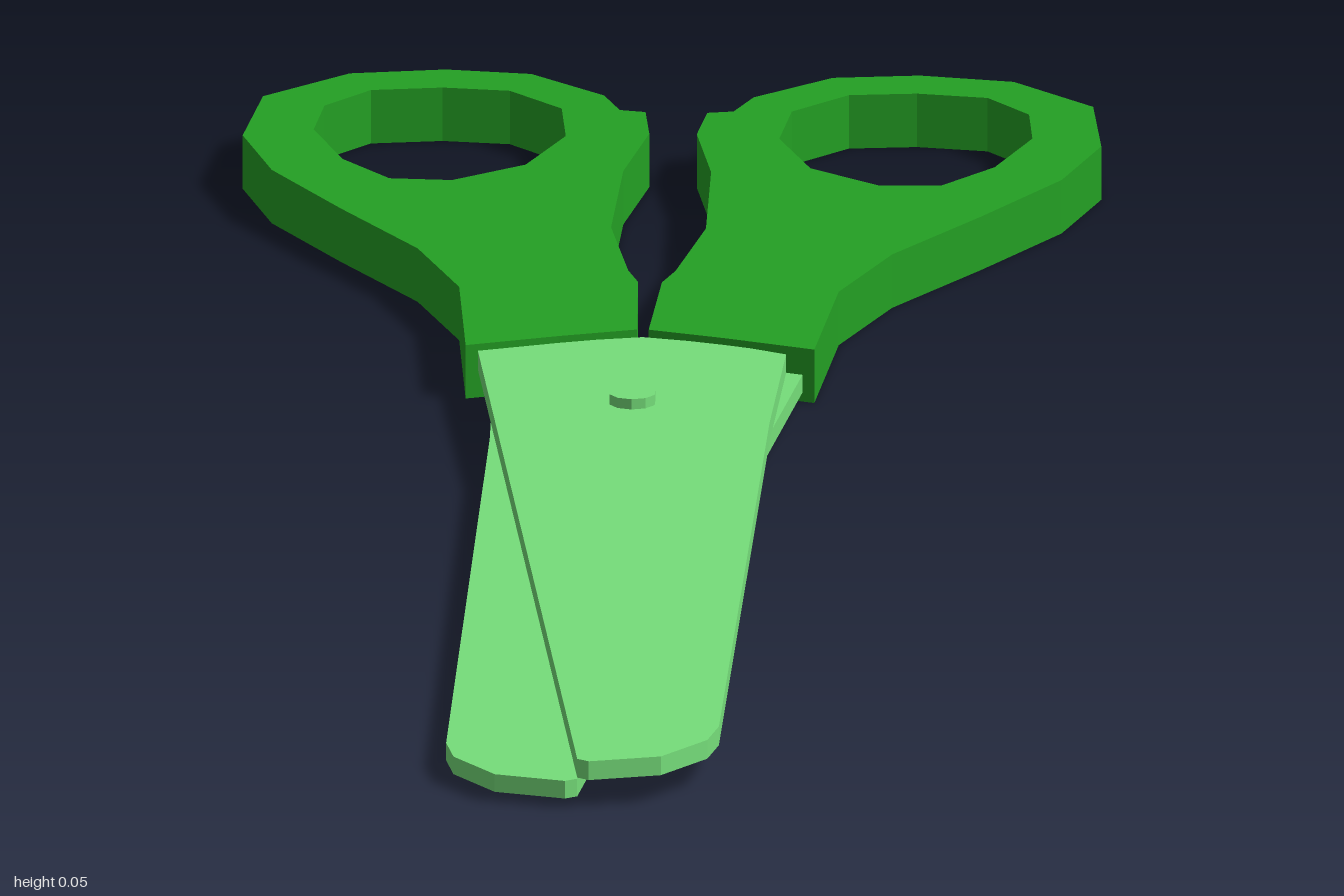
import * as THREE from 'three';

const handleMat = new THREE.MeshStandardMaterial({ color: 0x24a024, flatShading: true });
const bladeMat = new THREE.MeshStandardMaterial({ color: 0x76de7a, flatShading: true });

// Handle outline as [x, z], from the blade end round the finger ring
const HANDLE = [
  [0.005, -0.247], [0.07, -0.225], [0.147, -0.195], [0.16, -0.365], [0.2, -0.476], [0.27, -0.59],
  [0.333, -0.7], [0.362, -0.8], [0.35, -0.915], [0.28, -0.985], [0.2, -1], [0.127, -0.99],
  [0.063, -0.93], [0.048, -0.888], [0.026, -0.883], [0.02, -0.82], [0.037, -0.71],
  [0.04, -0.545], [0.02, -0.42], [0.01, -0.386],
];
const FINGER_HOLE = [
  [0.2, -0.947], [0.26, -0.937], [0.297, -0.89], [0.303, -0.82], [0.275, -0.735], [0.233, -0.68],
  [0.18, -0.677], [0.12, -0.725], [0.09, -0.81], [0.097, -0.89], [0.143, -0.94],
];
// Blade outline: straight cutting edge on -x, blunt rounded tip
const BLADE = [
  [-0.137, -0.2], [0, 0.99], [0.01, 0.997], [0.07, 0.98], [0.107, 0.93], [0.115, 0.89],
  [0.118, 0], [0.123, -0.2], [0.07, -0.228], [0, -0.245], [-0.07, -0.228],
];

// Flat plate lying in the xz plane between two heights
function plate(name, outline, hole, side, y0, y1, material) {
  const toPoints = (list) => list.map(([x, z]) => new THREE.Vector2(x * side, -z));
  const shape = new THREE.Shape(toPoints(outline));
  if (hole) shape.holes.push(new THREE.Path(toPoints(hole)));
  const geometry = new THREE.ExtrudeGeometry(shape, { depth: y1 - y0, bevelEnabled: false });
  geometry.rotateX(-Math.PI / 2).translate(0, y0, 0);
  const mesh = new THREE.Mesh(geometry, material);
  mesh.name = name;
  return mesh;
}

export function createModel() {
  const group = new THREE.Group();
  group.name = 'scissors';

  // Mirrored ring handles
  group.add(plate('leftHandle', HANDLE, FINGER_HOLE, 1, 0, 0.047, handleMat));
  group.add(plate('rightHandle', HANDLE, FINGER_HOLE, -1, 0, 0.047, handleMat));

  // Crossing blades, one above the other
  group.add(plate('upperBlade', BLADE, null, 1, 0.0245, 0.041, bladeMat));
  group.add(plate('lowerBlade', BLADE, null, -1, 0.008, 0.0235, bladeMat));

  // Pivot pin through both blades
  const pivot = new THREE.Mesh(new THREE.CylinderGeometry(0.02, 0.02, 0.05, 10), bladeMat);
  pivot.name = 'pivot';
  pivot.position.set(0, 0.025, -0.053);
  group.add(pivot);

  return group;
}
